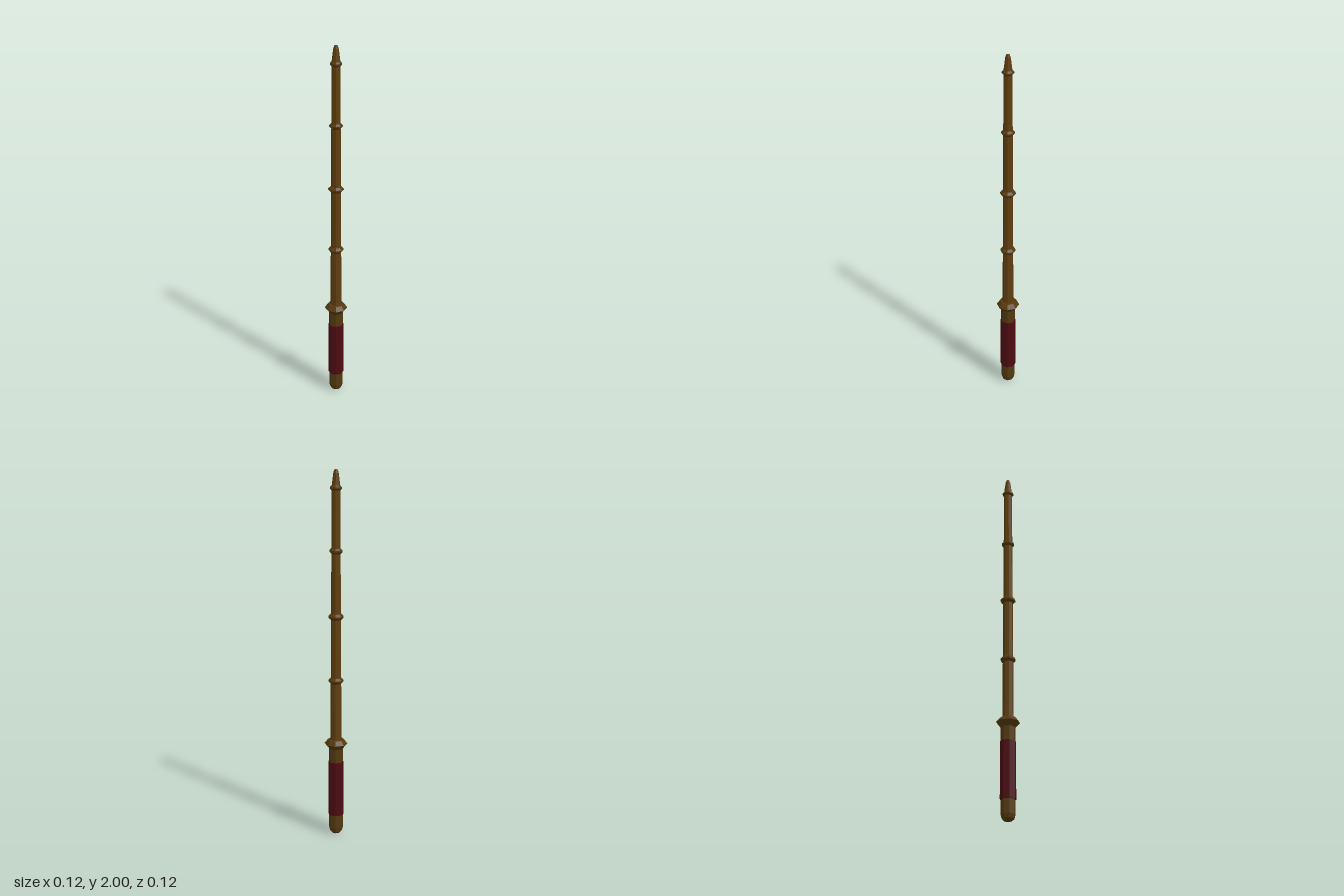
import * as THREE from 'three';

const material = (name, color) => {
  const m = new THREE.MeshStandardMaterial({ color, flatShading: true });
  m.name = name;
  return m;
};

export function createModel() {
  const wood = material('brown wood', 0x5f3e0e);
  const darkWood = material('dark wood', 0x54390f);
  const wrap = material('dark red wrap', 0x4c0c12);
  const group = new THREE.Group();
  group.name = 'batonSword';

  // Eight-sided turned part from [radius, height] points, bottom to top
  const turned = (name, mat, points) => {
    const profile = points.map(([r, y]) => new THREE.Vector2(r, y));
    const mesh = new THREE.Mesh(new THREE.LatheGeometry(profile, 8), mat);
    mesh.name = name;
    group.add(mesh);
  };

  // Handle with rounded pommel
  turned('handle', darkWood, [
    [0, 0], [0.022, 0.003], [0.033, 0.014], [0.038, 0.035], [0.038, 0.505], [0, 0.505],
  ]);

  // Grip wrap
  turned('gripWrap', wrap, [[0.036, 0.11], [0.042, 0.112], [0.042, 0.418], [0.036, 0.42]]);

  // Flared guard
  turned('guard', darkWood, [[0, 0.49], [0.038, 0.494], [0.0625, 0.522], [0.044, 0.545], [0, 0.547]]);

  // Tapering shaft
  turned('shaft', wood, [[0.03, 0.535], [0.0225, 1.9]]);

  // Bamboo-like node rings
  [[0.876, 0.041], [1.226, 0.041], [1.576, 0.035], [1.903, 0.031]].forEach(([y, r], i) => {
    turned(`nodeRing${i + 1}`, darkWood, [
      [0.022, y - 0.017], [r - 0.012, y - 0.016], [r, y - 0.004],
      [r, y + 0.004], [r - 0.012, y + 0.016], [0.02, y + 0.017],
    ]);
  });

  // Pointed tip with a small rounded end
  turned('tip', wood, [[0.024, 1.9], [0.014, 1.98], [0.009, 1.996], [0, 2]]);

  return group;
}
